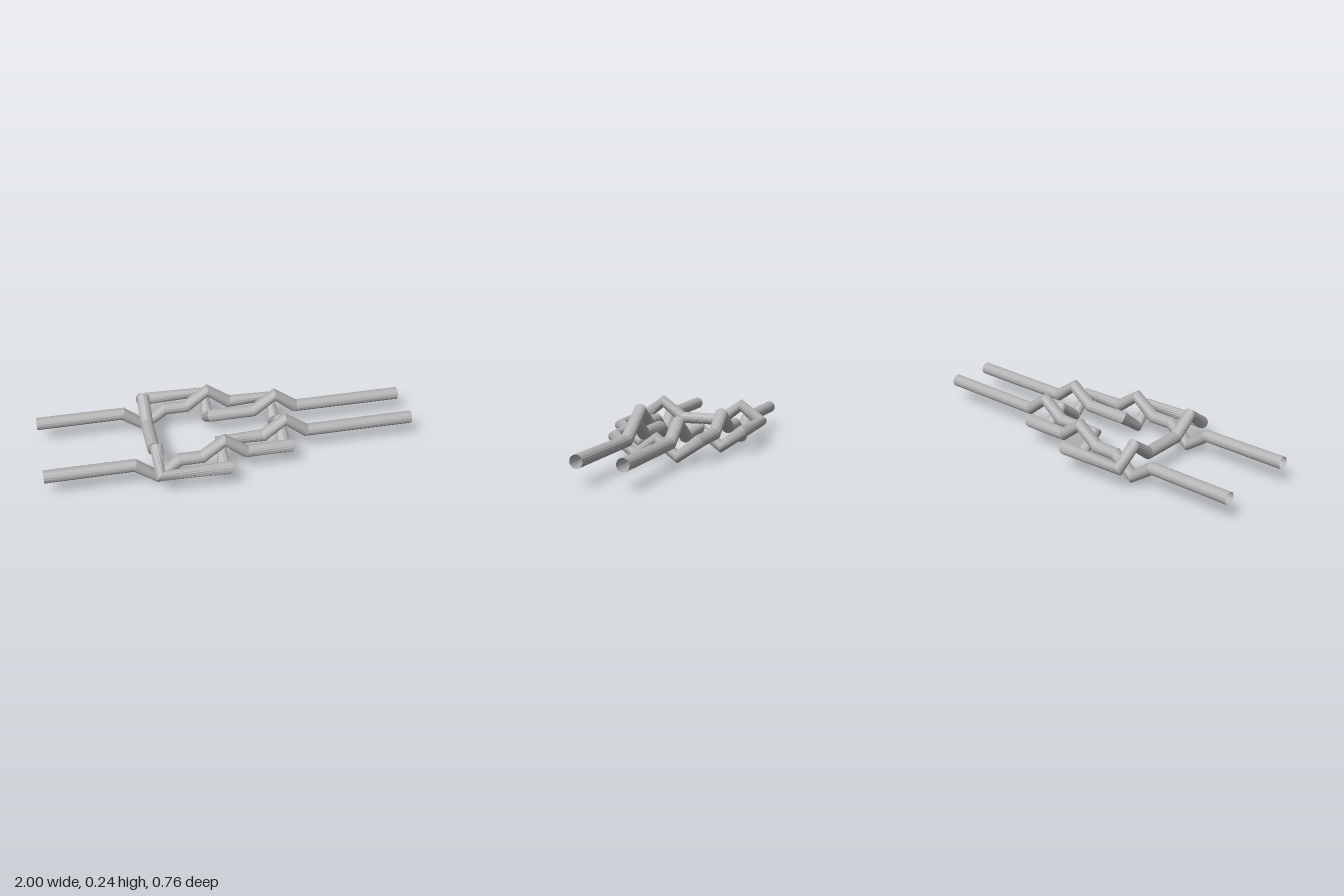
import * as THREE from 'three';

const U = 0.1175;      // lattice step of the weave
const R = 0.034;       // rope radius
const MID = 0.123;     // resting height of the rope
const AMP = 0.088;     // rise or dip at a crossing
const SIDES = 16;
const XL = -0.415, XM = -0.06, XR = 0.293; // the three crossing columns

// Sweeps an open tube along a polyline, one circular ring on each bend's bisector.
function ropeGeometry(points) {
  const positions = [], index = [];
  const up = new THREE.Vector3(0, 1, 0);
  const last = points.length - 1;
  points.forEach((p, i) => {
    const t = new THREE.Vector3();
    if (i > 0) t.add(p.clone().sub(points[i - 1]).normalize());
    if (i < last) t.add(points[i + 1].clone().sub(p).normalize());
    t.normalize();
    const u = new THREE.Vector3().crossVectors(t, up).normalize();
    const v = new THREE.Vector3().crossVectors(u, t);
    for (let j = 0; j < SIDES; j++) {
      const a = (j / SIDES) * Math.PI * 2;
      const q = p.clone().addScaledVector(u, Math.cos(a) * R).addScaledVector(v, Math.sin(a) * R);
      positions.push(q.x, q.y, q.z);
      if (i < last) {
        const k = (j + 1) % SIDES, b = i * SIDES, c = b + SIDES;
        index.push(b + j, b + k, c + k, b + j, c + k, c + j);
      }
    }
  });
  const g = new THREE.BufferGeometry();
  g.setAttribute('position', new THREE.Float32BufferAttribute(positions, 3));
  g.setIndex(index);
  g.computeVertexNormals();
  return g;
}

// Completes half a path (x, level, z) with its mirror image across z = 0.
function mirrored(half) {
  const toVec = ([x, level, z]) => new THREE.Vector3(x, MID + level * AMP, z);
  const back = half.filter(p => p[2] !== 0).reverse().map(([x, l, z]) => [x, l, -z]);
  return [...half, ...back].map(toVec);
}

// Three points of a rise (1) or dip (-1) along x, in the given direction.
const bumpX = (x, level, z, dir) => [[x - dir * U, 0, z], [x, level, z], [x + dir * U, 0, z]];

export function createModel() {
  const group = new THREE.Group();
  group.name = 'interlacedKnot';
  const rope = new THREE.MeshStandardMaterial({ color: 0xb2b2b2, side: THREE.DoubleSide, flatShading: true });
  rope.name = 'ropeGrey';

  // Strand whose two free ends leave towards +x
  const leftStrand = mirrored([
    [1, 0, U], ...bumpX(XR, 1, U, -1),
    [XM, 0, U], [XM, -1, 2 * U], [XM, 0, 3 * U],
    [XL, 0, 3 * U], [XL, 1, 2 * U], [XL, 0, U],
  ]);

  // Strand whose two free ends leave towards -x
  const rightStrand = mirrored([
    [-1, 0, 2 * U], ...bumpX(XL, -1, 2 * U, 1), ...bumpX(XM, 1, 2 * U, 1),
    [XR, 0, 2 * U], [XR, -1, U], [XR, 0, 0],
  ]);

  for (const [name, path] of [['leftStrand', leftStrand], ['rightStrand', rightStrand]]) {
    const mesh = new THREE.Mesh(ropeGeometry(path), rope);
    mesh.name = name;
    group.add(mesh);
  }
  return group;
}
